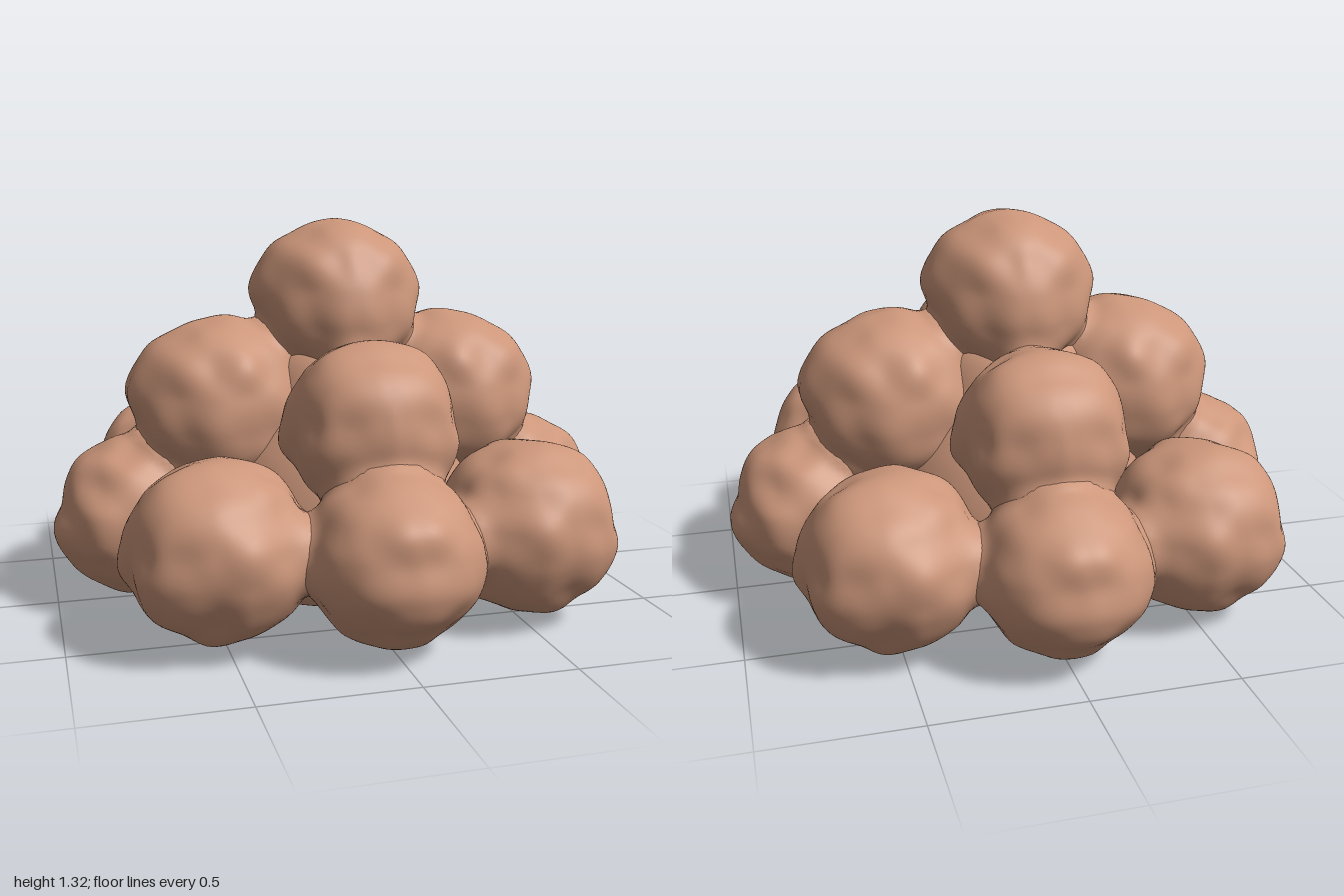
import * as THREE from 'three';
import { mergeVertices } from 'three/addons/utils/BufferGeometryUtils.js';

// Ball list: name, centre, radii
const balls = [];
const add = (name, x, y, z, rx, ry, rz) =>
  balls.push({ name, c: new THREE.Vector3(x, y, z), r: new THREE.Vector3(rx, ry, rz) });

for (const s of [1, -1]) {
  const side = s > 0 ? 'left' : 'right', end = s > 0 ? 'front' : 'back';
  // bottom ring
  add(side + 'BottomBall', s * 0.71, 0.31, 0, 0.285, 0.27, 0.29);
  add(end + 'BottomBall', 0, 0.31, s * 0.71, 0.29, 0.27, 0.285);
  for (const t of [1, -1])
    add(side + (t > 0 ? 'Front' : 'Back') + 'CornerBall', s * 0.52, 0.32, t * 0.53, 0.3, 0.285, 0.3);
  // middle tier
  add(side + 'MiddleBall', s * 0.425, 0.69, 0, 0.305, 0.305, 0.315);
  add(end + 'MiddleBall', 0, 0.67, s * 0.455, 0.285, 0.28, 0.28);
}
add('topBall', 0, 1.03, 0, 0.288, 0.3, 0.312);

// Distance to one ball, and to the softly joined pile
function ballDistance(p, b) {
  const x = (p.x - b.c.x) / b.r.x, y = (p.y - b.c.y) / b.r.y, z = (p.z - b.c.z) / b.r.z;
  return (Math.hypot(x, y, z) - 1) * b.r.y;
}
function pileDistance(p) {
  const k = 0.06;
  let d = 10;
  for (const b of balls) {
    const e = ballDistance(p, b), h = Math.max(k - Math.abs(d - e), 0) / k;
    d = Math.min(d, e) - h * h * k / 4;
  }
  return d;
}

// Smooth lumps: value noise on a lattice
function hash(i, j, k) {
  let n = Math.imul(i, 374761393) + Math.imul(j, 668265263) + Math.imul(k, 1274126177);
  n = Math.imul(n ^ (n >>> 13), 1103515245);
  return ((n ^ (n >>> 16)) >>> 0) / 4294967295 * 2 - 1;
}
function noise(x, y, z) {
  const i = Math.floor(x), j = Math.floor(y), k = Math.floor(z);
  const f = t => t * t * (3 - 2 * t);
  const u = f(x - i), v = f(y - j), w = f(z - k);
  let sum = 0;
  for (let a = 0; a < 2; a++) for (let b = 0; b < 2; b++) for (let c = 0; c < 2; c++)
    sum += hash(i + a, j + b, k + c) * (a ? u : 1 - u) * (b ? v : 1 - v) * (c ? w : 1 - w);
  return sum;
}
const lump = (d, seed) => 0.02 * noise(d.x * 2.7 + seed * 17 + 0.5, d.y * 2.7 + 0.5, d.z * 2.7 + 0.5);

// A lumpy ball that swells a little where it meets its neighbours
function ballGeometry(ball) {
  let g = new THREE.IcosahedronGeometry(1, 17);
  g.deleteAttribute('normal');
  g.deleteAttribute('uv');
  g = mergeVertices(g, 1e-4);
  const pos = g.attributes.position, dir = new THREE.Vector3(), p = new THREE.Vector3();
  const m = new THREE.Vector3();
  for (let i = 0; i < pos.count; i++) {
    dir.fromBufferAttribute(pos, i).normalize();
    p.copy(dir).multiply(ball.r).add(ball.c);
    let push = 0;
    for (let n = 0; n < 3; n++) {
      const step = Math.min(Math.max(-pileDistance(p), 0), 0.03 - push);
      push += step;
      p.addScaledVector(dir, step);
    }
    // mirrored lumps, with the same pattern on opposite sides
    m.set(dir.x * (ball.c.x < 0 ? -1 : 1), dir.y, dir.z * (ball.c.z < 0 ? -1 : 1));
    if (ball.c.x === 0) m.x = Math.sqrt(m.x * m.x + 0.01);
    if (ball.c.z === 0) m.z = Math.sqrt(m.z * m.z + 0.01);
    const seed = Math.round(ball.c.y * 10 + Math.abs(ball.c.x) * 7);
    p.addScaledVector(dir, lump(m, seed));
    pos.setXYZ(i, p.x, p.y, p.z);
  }
  g.computeVertexNormals();
  return g;
}

// Rounded core with a flat foot, filling the gaps
function coreGeometry() {
  const curve = new THREE.SplineCurve([
    [0, 0.004], [0.2, 0.003], [0.32, 0.012], [0.4, 0.05], [0.455, 0.15], [0.49, 0.32],
    [0.44, 0.52], [0.33, 0.7], [0.24, 0.88], [0, 1.0]
  ].map(([x, y]) => new THREE.Vector2(x, y)));
  const points = curve.getPoints(48).map(v => new THREE.Vector2(Math.max(v.x, 0), Math.max(v.y, 0)));
  return new THREE.LatheGeometry(points, 64);
}

export function createModel() {
  const clay = new THREE.MeshStandardMaterial({ color: 0xcc967a });
  clay.name = 'clay brown';
  const group = new THREE.Group();
  group.name = 'ballPile';
  const put = (name, geometry) => {
    const mesh = new THREE.Mesh(geometry, clay);
    mesh.name = name;
    group.add(mesh);
  };
  put('core', coreGeometry());
  for (const ball of balls) put(ball.name, ballGeometry(ball));
  return group;
}
